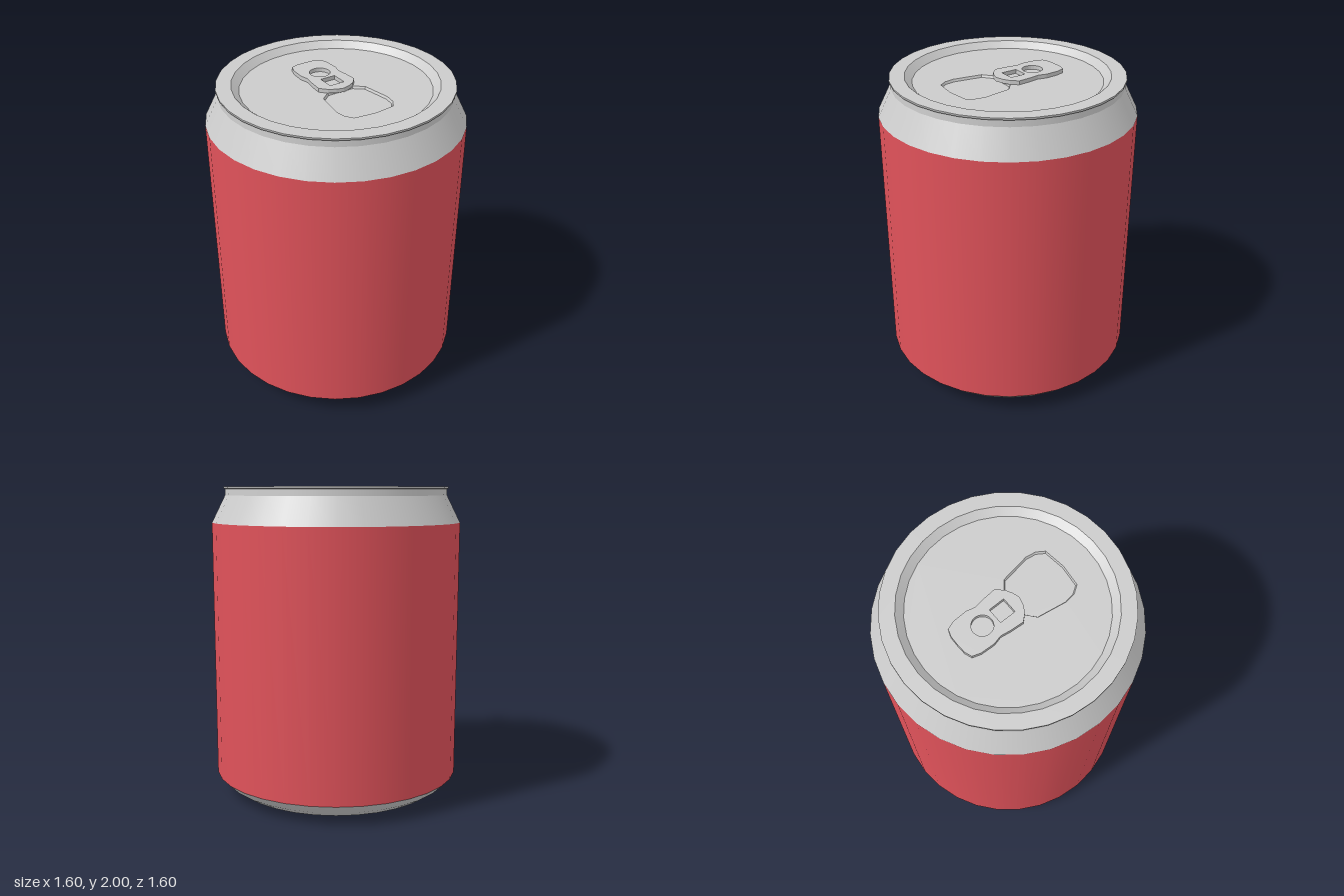
import * as THREE from 'three';

const SIDES = 32;
const LID_Y = 1.96;
const metal = new THREE.MeshStandardMaterial({ color: 0xcccccc, side: THREE.DoubleSide });
const red = new THREE.MeshStandardMaterial({ color: 0xe0525a });

const vectors = (points) => points.map(([x, y]) => new THREE.Vector2(x, y));

// Completes a left-right symmetric outline from its -x half, listed back to front as [x, z];
// the result is in shape space, where y = -z
function mirrored(half) {
  const other = half.filter(([x]) => x !== 0).reverse().map(([x, z]) => [-x, z]);
  return vectors([...half, ...other].map(([x, z]) => [x, -z]));
}

function circle(radius, sides, cy = 0) {
  return Array.from({ length: sides }, (_, i) => {
    const a = (i / sides) * Math.PI * 2;
    return new THREE.Vector2(Math.sin(a) * radius, cy + Math.cos(a) * radius);
  });
}

// Lays a geometry drawn in the xy plane flat, facing up
function flat(geometry, y) {
  return geometry.rotateX(-Math.PI / 2).translate(0, y, 0);
}

// Sloping wall that joins two outlines at different heights
function wall(upper, lower, yUpper, yLower) {
  const positions = [];
  upper.forEach((a, i) => {
    const j = (i + 1) % upper.length;
    const b = upper[j], c = lower[j], d = lower[i];
    const A = [a.x, yUpper, -a.y], B = [b.x, yUpper, -b.y];
    const C = [c.x, yLower, -c.y], D = [d.x, yLower, -d.y];
    positions.push(...A, ...D, ...B, ...B, ...D, ...C);
  });
  const geometry = new THREE.BufferGeometry();
  geometry.setAttribute('position', new THREE.Float32BufferAttribute(positions, 3));
  geometry.computeVertexNormals();
  return geometry;
}

export function createModel() {
  const can = new THREE.Group();
  can.name = 'drinkCan';

  const add = (name, geometry, material = metal) => {
    const mesh = new THREE.Mesh(geometry, material);
    mesh.name = name;
    can.add(mesh);
  };
  const turned = (name, points, material) =>
    add(name, new THREE.LatheGeometry(vectors(points), SIDES), material);

  // Shell, from the domed underside up to the rim
  turned('baseDome', [[0, 0.1], [0.15, 0.094], [0.3, 0.075], [0.44, 0.044], [0.56, 0]]);
  turned('baseCurve', [[0.56, 0], [0.59, 0.003], [0.67, 0.025], [0.74, 0.07], [0.8, 0.13]]);
  turned('paintedBody', [[0.8, 0.13], [0.8, 1.775]], red);
  turned('neck', [[0.8, 1.775], [0.715, 1.945]]);
  turned('neckCollar', [[0.715, 1.945], [0.712, 1.985]]);
  turned('rimEdge', [[0.712, 1.985], [0.723, 1.988], [0.723, 2]]);
  turned('rimTop', [[0.723, 2], [0.63, 2]]);
  turned('rimInnerWall', [[0.63, 2], [0.585, LID_Y]]);

  // Lid with a shallow pressed panel for the mouth
  const mouth = mirrored([
    [-0.09, 0.045], [-0.15, 0.094], [-0.18, 0.28], [-0.17, 0.345], [-0.137, 0.394], [0, 0.41],
  ]);
  const mouthFloor = mouth.map((p) => new THREE.Vector2(p.x * 0.96, (p.y + 0.23) * 0.97 - 0.23));
  const lid = new THREE.Shape(circle(0.585, SIDES));
  lid.holes.push(new THREE.Path(mouth));
  add('lid', flat(new THREE.ShapeGeometry(lid), LID_Y));
  add('mouthWall', wall(mouth, mouthFloor, LID_Y, LID_Y - 0.015));
  add('mouthPanel', flat(new THREE.ShapeGeometry(new THREE.Shape(mouthFloor)), LID_Y - 0.015));

  // Pull tab with a finger hole and a square rivet hole
  const tab = new THREE.Shape(mirrored([
    [0, -0.36], [-0.06, -0.358], [-0.105, -0.342], [-0.122, -0.29], [-0.126, -0.2], [-0.112, -0.145],
    [-0.122, -0.08], [-0.128, 0.005], [-0.09, 0.048], [-0.045, 0.073], [0, 0.085],
  ]));
  tab.holes.push(
    new THREE.Path(circle(0.064, 24, 0.184)),
    new THREE.Path(vectors([[-0.05, -0.01], [0.05, -0.01], [0.05, 0.094], [-0.05, 0.094]])),
  );
  add('pullTab', flat(new THREE.ExtrudeGeometry(tab, { depth: 0.025, bevelEnabled: false }), LID_Y));

  return can;
}
